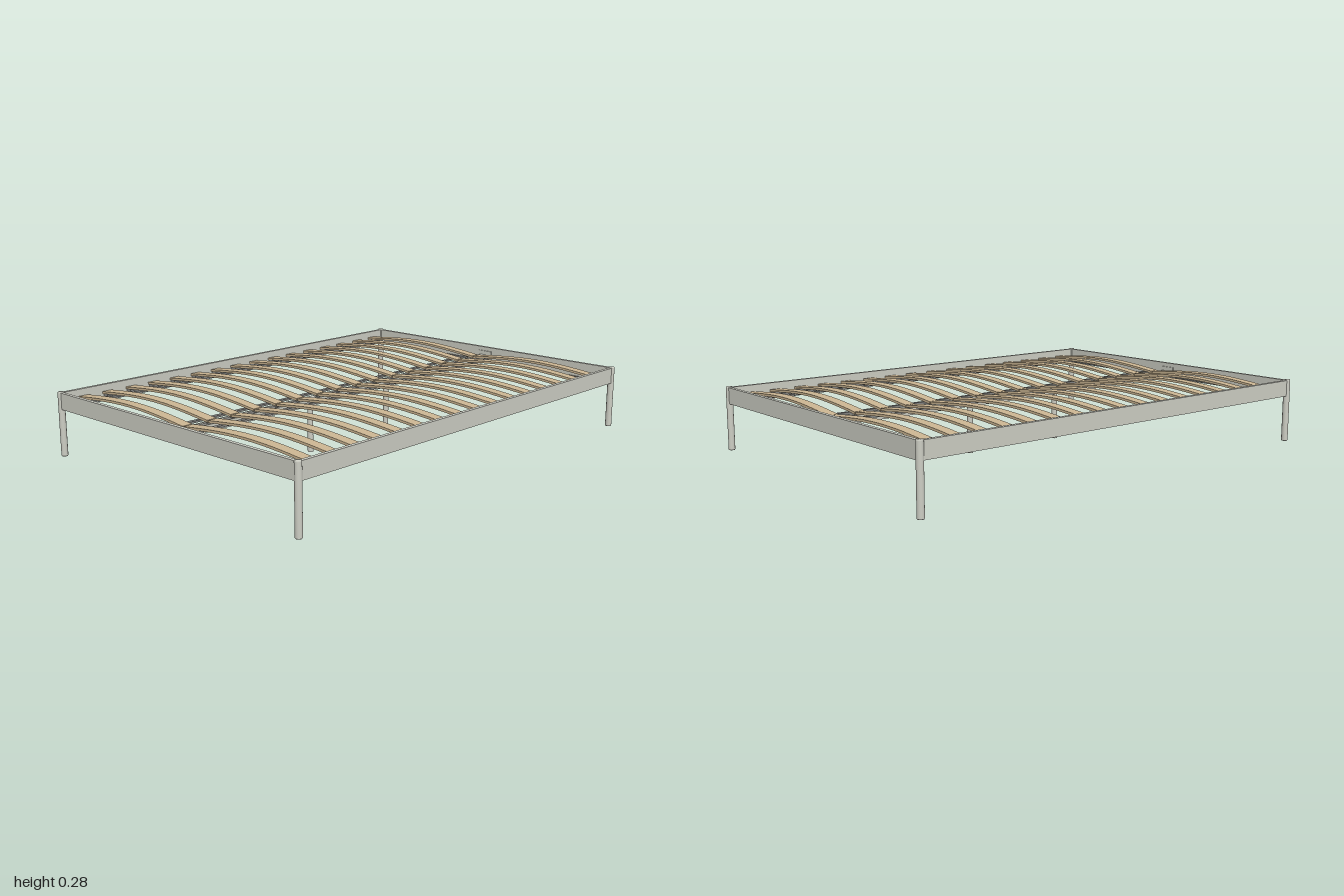
import * as THREE from 'three';

export function createModel() {
  const model = new THREE.Group();
  model.name = 'bedFrame';

  const material = (name, color) => {
    const m = new THREE.MeshStandardMaterial({ color });
    m.name = name;
    return m;
  };
  const paint = material('paleGreyMetal', 0xcdcec4);
  const dark = material('darkGreyMetal', 0x868683);
  const wood = material('birch', 0xcbb592);

  const add = (name, geometry, mat, x = 0, y = 0, z = 0) => {
    const mesh = new THREE.Mesh(geometry, mat);
    mesh.name = name;
    mesh.position.set(x, y, z);
    model.add(mesh);
    return mesh;
  };
  const box = (name, w, h, d, mat, x, y, z) =>
    add(name, new THREE.BoxGeometry(w, h, d), mat, x, y, z);

  // Corner posts with softly rounded caps
  const post = new THREE.LatheGeometry([
    [0, 0], [0.012, 0], [0.014, 0.003], [0.014, 0.269], [0.012, 0.274], [0, 0.275],
  ].map(([r, y]) => new THREE.Vector2(r, y)), 20);

  // Triangular gusset in the inner corner
  const gussetShape = new THREE.Shape([
    new THREE.Vector2(0, 0), new THREE.Vector2(0.035, 0),
    new THREE.Vector2(0.035, 0.075), new THREE.Vector2(0.02, 0.1), new THREE.Vector2(0, 0.1),
  ]);

  for (const sx of [-1, 1]) {
    // Side rail, slat ledge and the two slat straps of this half
    box('sideRail', 0.016, 0.07, 1.95, paint, sx * 0.697, 0.236, 0);
    box('sideLedge', 0.034, 0.006, 1.92, dark, sx * 0.674, 0.212, 0);
    box('outerStrap', 0.018, 0.008, 1.82, dark, sx * 0.628, 0.229, 0);
    box('innerStrap', 0.018, 0.008, 1.82, dark, sx * 0.063, 0.229, 0);

    for (const sz of [-1, 1]) {
      add('cornerLeg', post, paint, sx * 0.697, 0, sz * 0.985);
      const shape = new THREE.Shape(gussetShape.getPoints().map(
        (p) => new THREE.Vector2(sx * (0.69 - p.x), sz * (0.975 - p.y))));
      const gusset = new THREE.ExtrudeGeometry(shape, { depth: 0.005, bevelEnabled: false });
      gusset.rotateX(Math.PI / 2);
      add('cornerBracket', gusset, paint, 0, 0.222, 0);
    }
  }

  for (const sz of [-1, 1]) {
    // End rail with a narrow lower lip
    box('endRail', 1.38, 0.07, 0.016, paint, 0, 0.236, sz * 0.985);
    box('endLip', 1.38, 0.005, 0.01, dark, 0, 0.204, sz * 0.973);
    // Hanger that carries the centre beam
    box('beamHanger', 0.05, 0.032, 0.1, paint, 0, 0.218, sz * 0.93);
    box('beamHangerPlate', 0.075, 0.045, 0.006, paint, 0, 0.23, sz * 0.974);
    // Middle legs
    add('middleLeg', new THREE.CylinderGeometry(0.012, 0.012, 0.205, 20), paint,
      0, 0.1025, sz * 0.238);
    box('legPlate', 0.03, 0.004, 0.04, paint, 0, 0.232, sz * 0.228);
  }

  // Centre beam with a darker track on top
  box('centreBeam', 0.044, 0.024, 1.95, dark, 0, 0.215, 0);
  for (const sx of [-1, 1]) {
    box('beamEdge', 0.006, 0.028, 1.9, paint, sx * 0.02, 0.218, 0);
  }

  // Bowed slats: an arched strip for each half of the bed
  const slatShape = new THREE.Shape();
  const steps = 14, inner = 0.003, outer = 0.688, thick = 0.01;
  const arch = (t) => 0.232 + 0.024 * Math.sin(Math.PI * t);
  for (let i = 0; i <= steps; i++) {
    const t = i / steps, x = inner + (outer - inner) * t;
    if (i === 0) slatShape.moveTo(x, arch(t));
    else slatShape.lineTo(x, arch(t));
  }
  for (let i = steps; i >= 0; i--) {
    const t = i / steps;
    slatShape.lineTo(inner + (outer - inner) * t, arch(t) + thick);
  }
  const slat = new THREE.ExtrudeGeometry(slatShape, { depth: 0.046, bevelEnabled: false });
  slat.translate(0, 0, -0.023);
  const mirrored = slat.clone().rotateY(Math.PI);

  const count = 16;
  for (let i = 0; i < count; i++) {
    const z = -0.895 + (1.78 * i) / (count - 1);
    add('leftSlat', slat, wood, 0, 0, z);
    add('rightSlat', mirrored, wood, 0, 0, z);
    // Holders under the slat ends
    for (const x of [-0.674, 0, 0.674]) {
      box('slatHolder', 0.026, 0.02, 0.036, dark, x, 0.223, z);
    }
  }

  return model;
}
